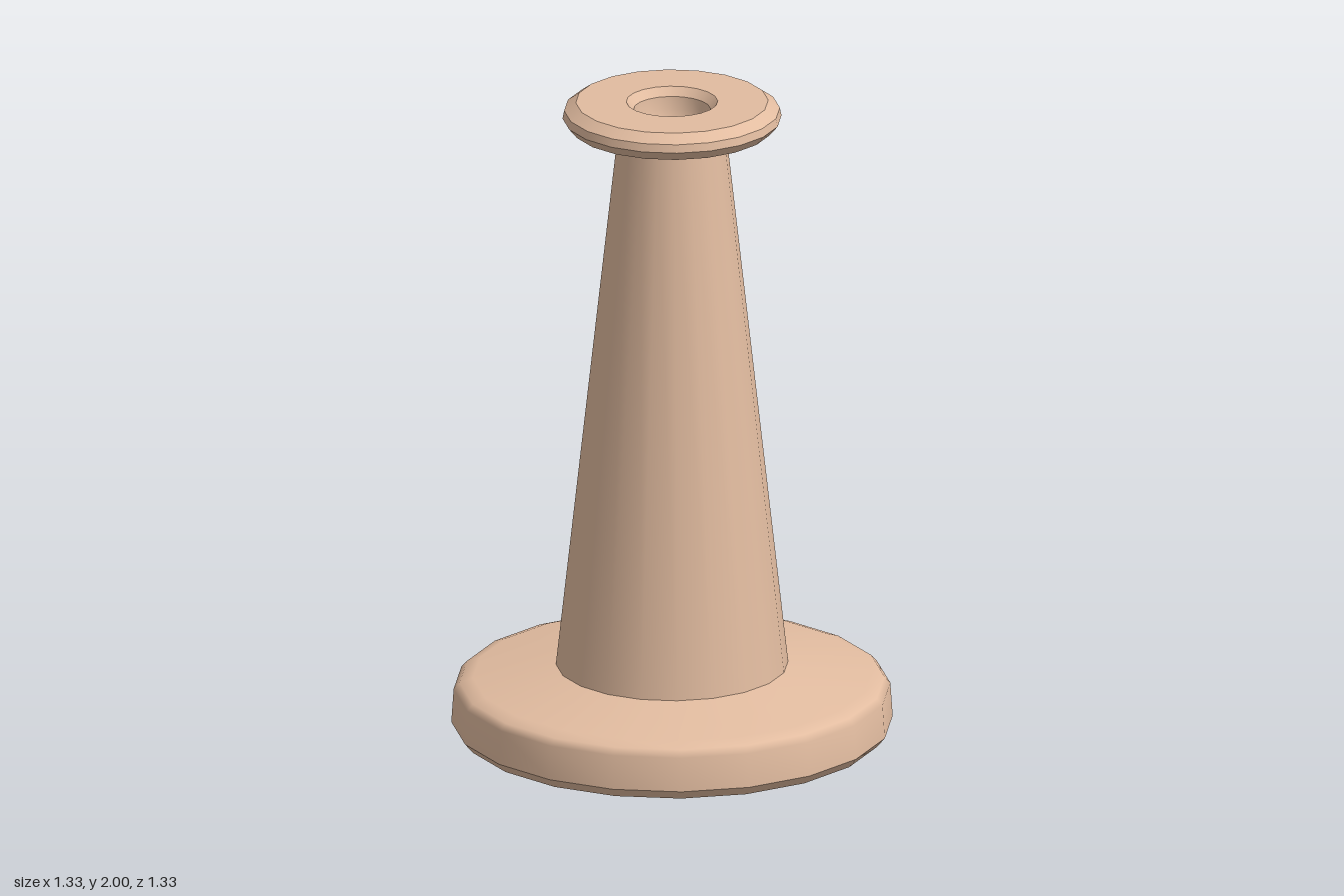
import * as THREE from 'three';

const SIDES = 20;

export function createModel() {
  const group = new THREE.Group();
  const material = new THREE.MeshStandardMaterial({ color: 0xe2bca0, side: THREE.DoubleSide });

  // Smooth ring surface; breaks between surfaces give the sharp edges.
  const ring = (name, points) => {
    const profile = points.map(([r, y]) => new THREE.Vector2(r, y));
    const mesh = new THREE.Mesh(new THREE.LatheGeometry(profile, SIDES), material);
    mesh.name = name;
    group.add(mesh);
  };

  // Rounded end of a socket, from its rim (dir -1 = sinks downward) to the centre.
  const bowl = (r, y, depth, dir) => Array.from({ length: 7 }, (_, i) => {
    const a = (i / 6) * Math.PI / 2;
    return [i === 6 ? 0 : r * Math.cos(a), y + dir * depth * Math.sin(a)];
  });

  // Base with the socket underneath
  ring('bottomSocket', bowl(0.205, 0.025, 0.25, 1).reverse());
  ring('bottomSocketBevel', [[0.205, 0.025], [0.235, 0]]);
  ring('baseUnderside', [[0.235, 0], [0.64, 0]]);
  ring('baseLowerBevel', [[0.64, 0], [0.665, 0.03]]);
  ring('baseRim', [[0.665, 0.03], [0.658, 0.135], [0.64, 0.155], [0.6, 0.17], [0.35, 0.21]]);

  // Tapered column
  ring('column', [[0.35, 0.21], [0.165, 1.885]]);

  // Top flange
  ring('flangeUnderside', [[0.165, 1.885], [0.305, 1.92]]);
  ring('flangeLowerBevel', [[0.305, 1.92], [0.33, 1.95]]);
  ring('flangeRim', [[0.33, 1.95], [0.325, 1.975]]);
  ring('flangeUpperBevel', [[0.325, 1.975], [0.29, 2]]);
  ring('flangeTop', [[0.29, 2], [0.138, 2]]);

  // Socket in the top
  ring('topSocketBevel', [[0.138, 2], [0.116, 1.975]]);
  ring('topSocket', bowl(0.116, 1.975, 0.15, -1));

  return group;
}
